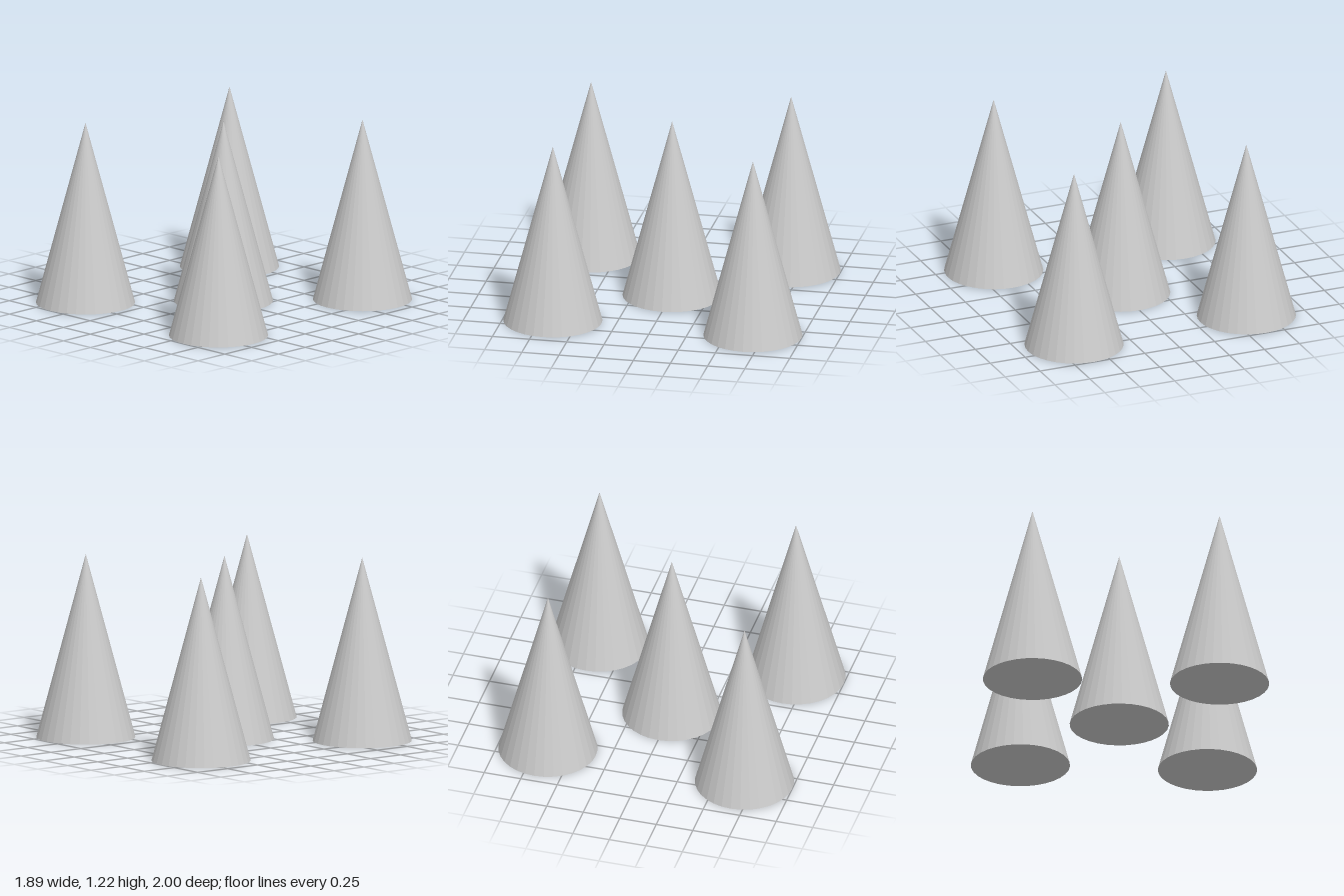
import * as THREE from 'three';

export function createModel() {
  const model = new THREE.Group();
  const material = new THREE.MeshStandardMaterial({ color: 0xcccccc, flatShading: true });

  // One faceted cone with a closed base, standing on the ground
  const radius = 0.327, height = 1.22;
  const geometry = new THREE.ConeGeometry(radius, height, 32);
  geometry.translate(0, height / 2, 0);

  const addCone = (name, x, z) => {
    const cone = new THREE.Mesh(geometry, material);
    cone.name = name;
    cone.position.set(x, 0, z);
    model.add(cone);
  };

  // Four corner cones
  for (const [side, sx] of [['Left', 1], ['Right', -1]]) {
    for (const [end, sz] of [['front', 1], ['back', -1]]) {
      addCone(`${end}${side}Cone`, sx * 0.617, sz * 0.673);
    }
  }

  // Middle cone, very slightly off centre
  addCone('centreCone', -0.005, 0);

  return model;
}
